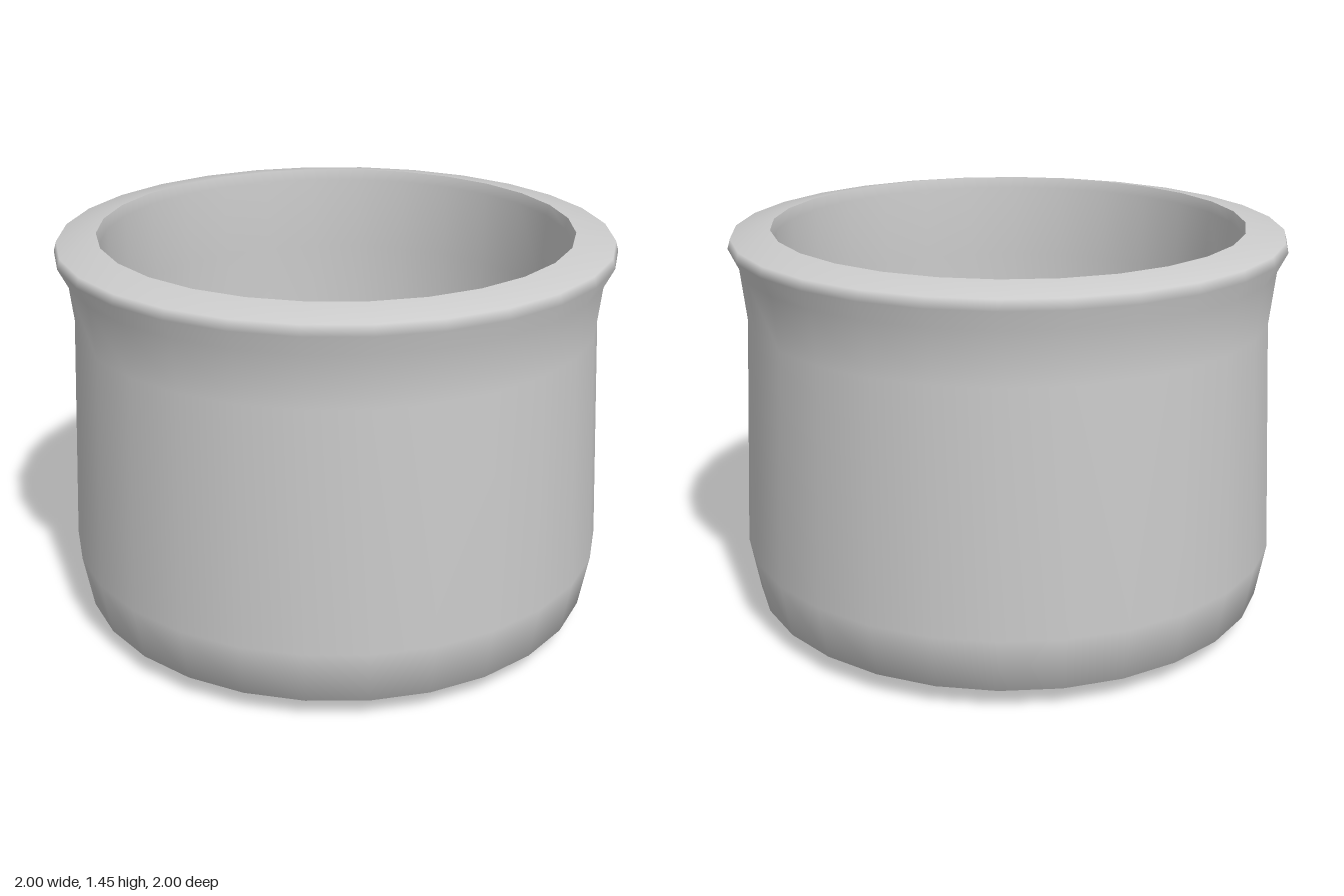
import * as THREE from 'three';

const SIDES = 28;

// Turns a [radius, height] profile into a smooth round surface
function turned(name, profile, material) {
  const points = profile.map(([r, y]) => new THREE.Vector2(r, y));
  const mesh = new THREE.Mesh(new THREE.LatheGeometry(points, SIDES), material);
  mesh.name = name;
  return mesh;
}

export function createModel() {
  const group = new THREE.Group();
  group.name = 'pot';
  const grey = new THREE.MeshStandardMaterial({ color: 0xcccccc, side: THREE.DoubleSide });

  // Outside: base, rounded foot, tapering wall, flared lip and sloping rim
  group.add(turned('outerWall', [
    [0, 0], [0.6, 0.006], [0.84, 0.024], [0.955, 0.08], [0.99, 0.28],
    [0.945, 1.13], [0.965, 1.32], [1, 1.39], [0.99, 1.425], [0.85, 1.45],
  ], grey));

  // Inside: wall curving into the floor, with a crisp edge at the rim
  group.add(turned('innerWall', [
    [0.85, 1.45], [0.84, 1.41], [0.83, 1.13], [0.84, 0.3],
    [0.78, 0.15], [0.62, 0.105], [0, 0.1],
  ], grey));

  return group;
}
